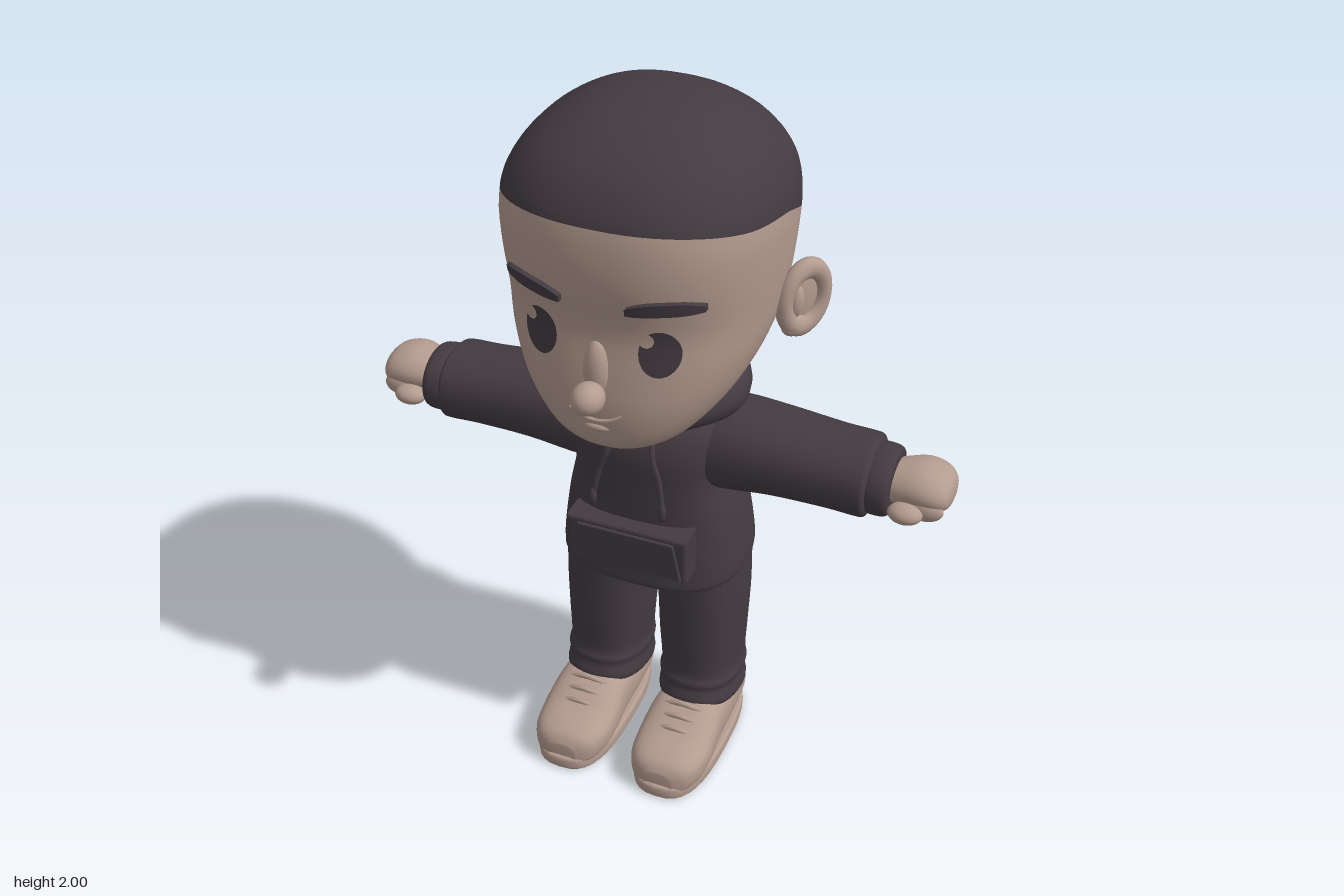
import * as THREE from 'three';

const skin = new THREE.MeshStandardMaterial({ color: 0xb39b8f });
skin.name = 'warm skin';
const charcoal = new THREE.MeshStandardMaterial({ color: 0x433b41 });
charcoal.name = 'charcoal';

const V = (x, y, z) => new THREE.Vector3(x, y, z);
const spow = (v, p) => Math.sign(v) * Math.pow(Math.abs(v), p);

// Catmull-Rom reading of a table of cross-section rows at t (in rows)
function rowAt(rows, t) {
  const last = rows.length - 1;
  const i = Math.min(Math.floor(t), last - 1), f = t - i;
  const [a, b, c, d] = [-1, 0, 1, 2].map(k => rows[THREE.MathUtils.clamp(i + k, 0, last)]);
  return b.map((_, k) => b[k] + 0.5 * f * (c[k] - a[k]
    + f * (2 * a[k] - 5 * b[k] + 4 * c[k] - d[k] + f * (3 * (b[k] - c[k]) + d[k] - a[k]))));
}

// Skin over closed rings; capped by default, always wound outward
function loft(rings, capped = true) {
  const list = rings.slice();
  if (capped) {
    const mid = r => r.reduce((s, p) => s.add(p), V(0, 0, 0)).divideScalar(r.length);
    const flat = r => { const m = mid(r); return r.map(() => m); };
    list.unshift(flat(rings[0]));
    list.push(flat(rings[rings.length - 1]));
  }
  const n = list[0].length, pts = list.flat(), idx = [];
  for (let j = 0; j < list.length - 1; j++) for (let i = 0; i < n; i++) {
    const a = j * n + i, b = j * n + (i + 1) % n;
    idx.push(a, b, a + n, b, b + n, a + n);
  }
  const c = new THREE.Box3().setFromPoints(pts).getCenter(V(0, 0, 0));
  const q = pts.map(p => p.clone().sub(c));
  let vol = 0;
  for (let k = 0; k < idx.length; k += 3) vol += q[idx[k]].dot(q[idx[k + 1]].clone().cross(q[idx[k + 2]]));
  if (vol < 0) idx.reverse();
  const g = new THREE.BufferGeometry().setFromPoints(pts);
  g.setIndex(idx);
  g.computeVertexNormals();
  return g;
}

// Loft a row table: point(row, sin, cos) places one ring point
function sweep(rows, point, power = 2, steps = 4, n = 36) {
  const rings = [];
  for (let j = 0; j <= (rows.length - 1) * steps; j++) {
    const r = rowAt(rows, j / steps);
    rings.push(Array.from({ length: n }, (_, i) => {
      const a = i / n * Math.PI * 2;
      return point(r, spow(Math.sin(a), 2 / power), spow(Math.cos(a), 2 / power));
    }));
  }
  return loft(rings);
}

// Rows of [y, half width, front z, back z]
const bodyPoint = ([y, w, f, b], s, c) => V(w * s, y, (f + b) / 2 + (f - b) / 2 * c);
const HEAD = [[1.158, 0.03, 0.2, 0.05], [1.165, 0.1, 0.265, -0.02], [1.19, 0.17, 0.295, -0.08],
  [1.24, 0.225, 0.313, -0.16], [1.32, 0.282, 0.322, -0.26], [1.42, 0.322, 0.315, -0.33],
  [1.52, 0.34, 0.307, -0.375], [1.64, 0.351, 0.33, -0.408], [1.74, 0.354, 0.333, -0.405],
  [1.82, 0.335, 0.318, -0.385], [1.9, 0.277, 0.26, -0.32], [1.96, 0.187, 0.165, -0.23],
  [1.99, 0.095, 0.07, -0.135], [2, 0, -0.035, -0.035]];
const HEAD_POW = 2.4;

function headRow(y) {
  let lo = 0, hi = HEAD.length - 1;
  for (let k = 0; k < 24; k++) {
    const m = (lo + hi) / 2;
    if (rowAt(HEAD, m)[0] < y) lo = m; else hi = m;
  }
  return lo;
}
function faceZ(x, y) {
  const [, w, f, b] = rowAt(HEAD, headRow(y));
  return (f + b) / 2 + (f - b) / 2 * Math.pow(1 - Math.pow(Math.min(1, Math.abs(x) / w), HEAD_POW), 1 / HEAD_POW);
}
// Lay a flat geometry on the face
function drape(g, lift) {
  const p = g.attributes.position;
  for (let i = 0; i < p.count; i++) p.setZ(i, p.getZ(i) + faceZ(p.getX(i), p.getY(i)) + lift);
  g.computeVertexNormals();
  return g;
}
// Part of the head below (face) or above (hair) the hairline
function headPart(isHair) {
  const N = 28, n = 72, rings = [];
  const line = [[1.63], [1.675], [1.745], [1.772], [1.8]];
  const cut = Array.from({ length: n }, (_, i) =>
    headRow(rowAt(line, (spow(Math.cos(i / n * Math.PI * 2), 2 / HEAD_POW) + 1) * 2)[0]));
  for (let j = 0; j <= N; j++) rings.push(cut.map((h, i) => {
    const a = i / n * Math.PI * 2, t = isHair ? h + (HEAD.length - 1 - h) * j / N : h * j / N;
    return bodyPoint(rowAt(HEAD, t), spow(Math.sin(a), 2 / HEAD_POW), spow(Math.cos(a), 2 / HEAD_POW));
  }));
  return loft(rings, false);
}

function ball(x, y, z, rx, ry, rz) {
  return new THREE.SphereGeometry(1, 28, 20).scale(rx, ry, rz).translate(x, y, z);
}
function tube(points, r) {
  return new THREE.TubeGeometry(new THREE.CatmullRomCurve3(points), 24, r, 8);
}

export function createModel() {
  const model = new THREE.Group();
  const add = (name, geo, mat) => {
    const m = new THREE.Mesh(geo, mat);
    m.name = name;
    model.add(m);
    return m;
  };

  // Head
  add('face', headPart(false), skin);
  add('hair', headPart(true), charcoal);
  add('noseTip', ball(0, 1.363, 0.362, 0.042, 0.041, 0.048), skin);
  add('noseBridge', ball(0, 1.41, 0.302, 0.036, 0.085, 0.034), skin);
  add('mouth', tube([-0.07, -0.035, 0, 0.035, 0.07].map(x => {
    const y = 1.274 + x * x * 5;
    return V(x, y, faceZ(x, y));
  }), 0.006), skin);
  add('lowerLip', ball(0, 1.25, 0.304, 0.04, 0.014, 0.018), skin);
  add('neck', new THREE.CylinderGeometry(0.11, 0.12, 0.2, 28).translate(0, 1.11, -0.06), skin);

  // Torso
  add('hoodieBody', sweep([[0.597, 0.24, 0.09, -0.29], [0.6, 0.258, 0.108, -0.308], [0.65, 0.262, 0.107, -0.312],
    [0.8, 0.242, 0.1, -0.297], [0.92, 0.217, 0.1, -0.285], [1.02, 0.222, 0.1, -0.282],
    [1.09, 0.222, 0.075, -0.28], [1.135, 0.18, 0.035, -0.265], [1.15, 0.11, -0.02, -0.22]], bodyPoint, 2.7), charcoal);
  add('trouserHips', sweep([[0.49, 0.06, -0.03, -0.17], [0.53, 0.19, 0.03, -0.23], [0.58, 0.25, 0.048, -0.255],
    [0.66, 0.25, 0.05, -0.26]], bodyPoint, 2.6), charcoal);

  // Folded hood: a ring thick at the back and thin at the throat
  const hoodPath = new THREE.CatmullRomCurve3([V(0, 1.1, 0.07), V(0.1, 1.14, 0.03), V(0.185, 1.165, -0.07),
    V(0.14, 1.17, -0.19), V(0, 1.165, -0.228), V(-0.14, 1.17, -0.19), V(-0.185, 1.165, -0.07), V(-0.1, 1.14, 0.03)], true);
  const hoodRings = [];
  for (let j = 0; j <= 64; j++) {
    const u = j / 64, p = hoodPath.getPoint(u), t = hoodPath.getTangent(u);
    const out = V(-t.z, 0, t.x).normalize(), up = t.clone().cross(out).normalize();
    const r = 0.026 + 0.046 * Math.pow(Math.sin(u * Math.PI), 0.7);
    hoodRings.push(Array.from({ length: 18 }, (_, i) => {
      const a = i / 18 * Math.PI * 2;
      return p.clone().addScaledVector(out, r * Math.cos(a)).addScaledVector(up, r * Math.sin(a));
    }));
  }
  const hoodGeo = loft(hoodRings, false);
  add('hood', hoodGeo, charcoal);

  // Front pocket with a raised panel
  const slab = (top, bottom, y0, y1, depth, z, bevel) => {
    const s = new THREE.Shape([[-bottom, y0], [bottom, y0], [top, y1], [-top, y1]].map(p => new THREE.Vector2(...p)));
    return new THREE.ExtrudeGeometry(s, { depth, bevelSize: bevel, bevelThickness: bevel, bevelSegments: 3 }).translate(0, 0, z);
  };
  add('pocket', slab(0.163, 0.165, 0.687, 0.803, 0.065, 0.07, 0.01), charcoal);
  add('pocketPanel', slab(0.135, 0.158, 0.69, 0.795, 0.004, 0.145, 0.004), charcoal);

  for (const s of [1, -1]) {
    const side = s > 0 ? 'left' : 'right';

    // Eye, highlight, brow
    const disc = (x, y, rx, ry, lift) =>
      drape(new THREE.RingGeometry(0.001, 1, 32, 5).scale(rx, ry, 1).translate(x, y, 0), lift);
    add(side + 'Eye', disc(s * 0.155, 1.482, 0.049, 0.063, 0.004), charcoal);
    add(side + 'EyeHighlight', disc(s * 0.155 - 0.03, 1.518, 0.018, 0.02, 0.006), skin);
    const brow = new THREE.BoxGeometry(0.172, 0.036, 0.022, 12, 3, 1);
    const bp = brow.attributes.position;
    for (let i = 0; i < bp.count; i++) {
      const u = bp.getX(i) / 0.086 * s;
      bp.setY(i, 1.608 + bp.getY(i) * (1 - 0.5 * Math.pow(Math.abs(u), 3)) + 0.008 * (1 - u * u) + 0.004 * u);
      bp.setX(i, bp.getX(i) + s * 0.17);
    }
    add(side + 'Brow', drape(brow, 0.005), charcoal);

    // Ear: cupped rim, inner bowl and lobe, swept backwards
    const ear = new THREE.Group();
    ear.name = side + 'Ear';
    const earParts = { rim: new THREE.TorusGeometry(0.062, 0.022, 12, 32).scale(1, 1.3, 1.05),
      bowl: ball(0, 0, -0.012, 0.07, 0.09, 0.018), fold: ball(-0.022, -0.01, 0, 0.02, 0.045, 0.018),
      lobe: ball(-0.02, -0.075, 0, 0.036, 0.03, 0.022) };
    for (const [name, g] of Object.entries(earParts)) {
      const m = new THREE.Mesh(s > 0 ? g : g.clone().rotateY(0), skin);
      m.name = name;
      ear.add(m);
    }
    ear.position.set(s * 0.377, 1.472, -0.118);
    ear.rotation.set(0, s * 1.0, -s * 0.12);
    if (s < 0) ear.scale.x = -1;
    model.add(ear);

    // Sleeve and cuff: rows of [x, y, z, radius y, radius z]
    const armPoint = ([x, y, z, ry, rz], a, b) => V(s * x, y + ry * a, z + rz * b);
    add(side + 'Sleeve', sweep([[0.1, 1.0, -0.09, 0.12, 0.13], [0.22, 1.01, -0.09, 0.124, 0.134],
      [0.35, 1.015, -0.088, 0.112, 0.13], [0.5, 1.012, -0.084, 0.104, 0.124], [0.585, 1.01, -0.082, 0.104, 0.124],
      [0.607, 1.01, -0.08, 0.1, 0.117], [0.615, 1.01, -0.08, 0.08, 0.095]], armPoint, 2.2), charcoal);
    add(side + 'Cuff', sweep([[0.6, 1.01, -0.078, 0.08, 0.09], [0.612, 1.01, -0.078, 0.092, 0.105],
      [0.65, 1.01, -0.076, 0.092, 0.105], [0.667, 1.01, -0.076, 0.083, 0.094], [0.668, 1.01, -0.076, 0.06, 0.07]], armPoint), charcoal);

    // Hand: palm, curled fingers, thumb
    add(side + 'Palm', sweep([[0.64, 1.01, -0.08, 0.05, 0.06], [0.68, 1.015, -0.085, 0.056, 0.075],
      [0.735, 1.02, -0.09, 0.06, 0.088], [0.785, 1.015, -0.09, 0.054, 0.082], [0.812, 1.01, -0.088, 0.036, 0.058],
      [0.82, 1.008, -0.088, 0.012, 0.02]], armPoint), skin);
    for (let i = 0; i < 4; i++)
      add(side + 'Finger', ball(s * 0.755, 0.982, -0.145 + i * 0.04, 0.053, 0.034, 0.024), skin);
    add(side + 'Thumb', ball(s * 0.715, 0.976, 0.002, 0.046, 0.027, 0.036), skin);

    // Drawstring
    add(side + 'Drawstring', tube([V(s * 0.05, 1.1, 0.068), V(s * 0.062, 1.04, 0.108),
      V(s * 0.085, 0.97, 0.118), V(s * 0.1, 0.89, 0.13)], 0.008), charcoal);
    add(side + 'StringTip', ball(s * 0.1, 0.885, 0.131, 0.011, 0.028, 0.011), charcoal);

    // Trouser leg: rows of [y, x, z, radius x, radius z], hem lower at the back
    add(side + 'TrouserLeg', sweep([[0.64, 0.132, -0.104, 0.128, 0.152], [0.5, 0.14, -0.1, 0.124, 0.15],
      [0.36, 0.142, -0.096, 0.118, 0.146], [0.25, 0.144, -0.094, 0.112, 0.142], [0.215, 0.145, -0.09, 0.117, 0.148],
      [0.19, 0.145, -0.088, 0.112, 0.146], [0.155, 0.146, -0.085, 0.117, 0.154], [0.132, 0.146, -0.085, 0.112, 0.15],
      [0.128, 0.146, -0.085, 0.09, 0.12]],
    ([y, x, z, rx, rz], a, b) => V(s * (x + rx * a), y + Math.max(0, 0.36 - y) * 0.8 * rz * b, z + rz * b), 2.4), charcoal);

    // Shoe: rows of [z, half width, height]
    add(side + 'Shoe', sweep([[-0.228, 0.05, 0.07], [-0.215, 0.085, 0.12], [-0.1, 0.1, 0.165], [0.03, 0.106, 0.182],
      [0.09, 0.11, 0.168], [0.16, 0.112, 0.138], [0.22, 0.104, 0.125], [0.262, 0.08, 0.108], [0.282, 0.04, 0.08]],
    ([z, w, h], a, b) => V(s * 0.15 + w * a, 0.005 + (h - 0.005) * (b + 1) / 2, z), 2.7), skin);
    add(side + 'Sole', sweep([[0, 0.108, 0.283, -0.23], [0.006, 0.115, 0.292, -0.237], [0.034, 0.115, 0.292, -0.237],
      [0.042, 0.108, 0.284, -0.23]], bodyPoint, 2.8).translate(s * 0.15, 0, 0), skin);
    for (let i = 0; i < 3; i++) {
      const z = 0.075 + i * 0.035, y = 0.178 - i * 0.017;
      add(side + 'Lace', tube([V(s * 0.15 - 0.055, y - 0.016, z), V(s * 0.15, y, z + 0.008),
        V(s * 0.15 + 0.055, y - 0.016, z)], 0.008), skin);
    }
  }
  return model;
}
